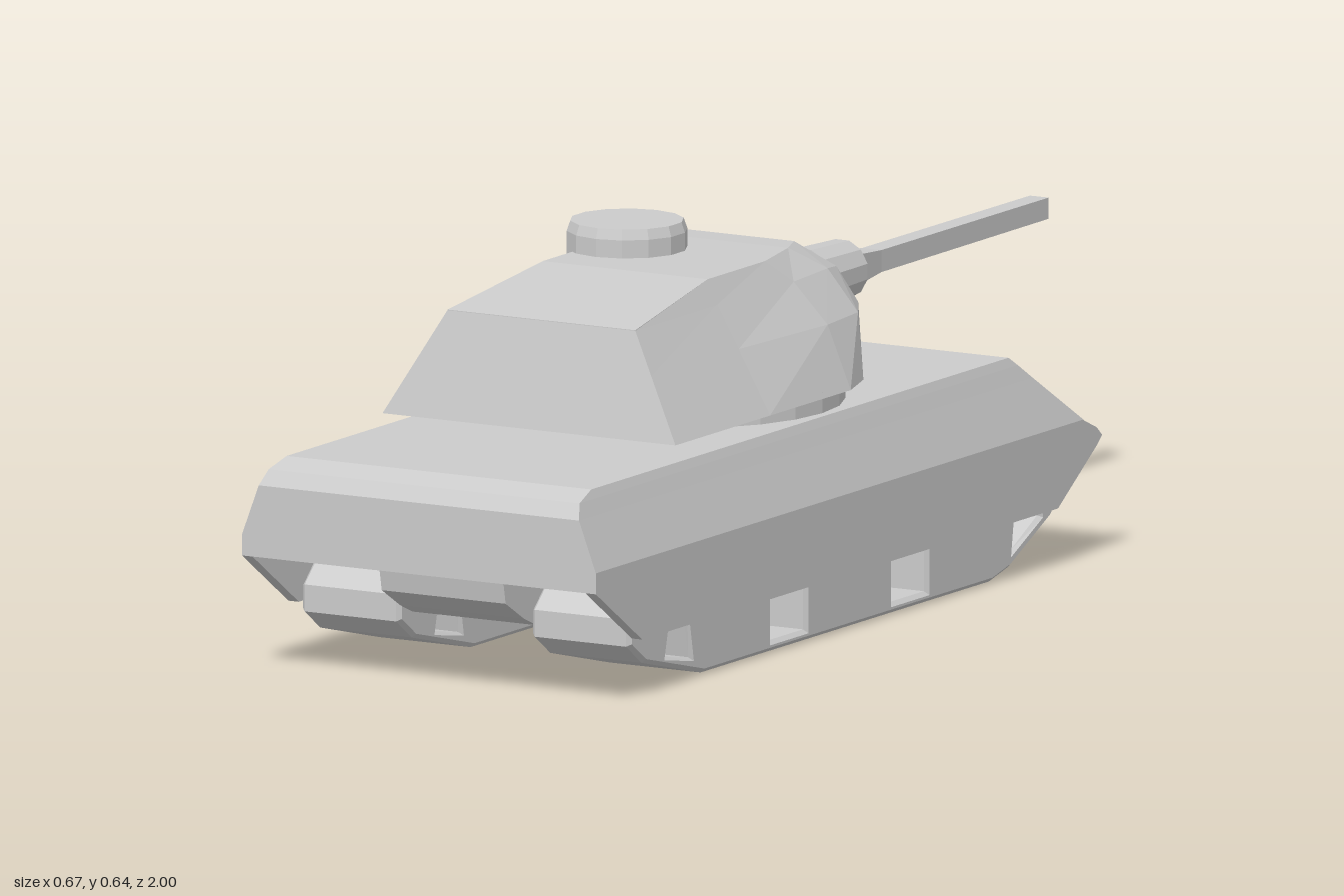
import * as THREE from 'three';

const material = new THREE.MeshStandardMaterial({ color: 0xcccccc, flatShading: true });

function add(parent, name, geometry) {
  const mesh = new THREE.Mesh(geometry, material);
  mesh.name = name;
  parent.add(mesh);
  return mesh;
}

// Solid from stacked rings; each ring lists its +x half, rear to front, and is mirrored.
function loft(halfRings) {
  const pos = [];
  const quad = (a, b, c, d) => pos.push(...a, ...b, ...c, ...a, ...c, ...d);
  const mirror = ([x, y, z]) => [-x, y, z];
  const rings = halfRings.map((h) => [...h, ...h.map(mirror).reverse()]);
  for (let r = 0; r + 1 < rings.length; r++) {
    const lo = rings[r], hi = rings[r + 1], n = lo.length;
    for (let i = 0; i < n; i++) {
      const j = (i + 1) % n;
      quad(lo[i], lo[j], hi[j], hi[i]);
    }
  }
  // Caps run straight across from side to side
  const bottom = halfRings[0], top = halfRings[halfRings.length - 1];
  for (let i = 0; i + 1 < top.length; i++) {
    quad(top[i], top[i + 1], mirror(top[i + 1]), mirror(top[i]));
    quad(bottom[i + 1], bottom[i], mirror(bottom[i]), mirror(bottom[i + 1]));
  }
  const g = new THREE.BufferGeometry();
  g.setAttribute('position', new THREE.Float32BufferAttribute(pos, 3));
  g.computeVertexNormals();
  return g;
}

// Side profile of [z, y] points extruded between x0 and x1
function sidePlate(points, x0, x1, holes = [], bevel = 0) {
  const vec = (list) => list.map(([z, y]) => new THREE.Vector2(z, y));
  const shape = new THREE.Shape(vec(points));
  holes.forEach((h) => shape.holes.push(new THREE.Path(vec(h))));
  const g = new THREE.ExtrudeGeometry(shape, {
    depth: x1 - x0 - 2 * bevel, bevelEnabled: bevel > 0,
    bevelThickness: bevel, bevelSize: bevel, bevelOffset: -bevel, bevelSegments: 1,
  });
  return g.rotateY(-Math.PI / 2).translate(x1 - bevel, 0, 0);
}

// Lathe lying along -z from [radius, -z] points
function gunLathe(points, sides) {
  const profile = points.map(([r, d]) => new THREE.Vector2(r, d));
  return new THREE.LatheGeometry(profile, sides, Math.PI / sides).rotateX(-Math.PI / 2);
}

export function createModel() {
  const tank = new THREE.Group();
  tank.name = 'tank';

  // Upper hull: [y, half width, rear z, front z]
  const hullRings = [
    [0.2, 0.337, 1, -0.615], [0.235, 0.337, 1, -0.572], [0.32, 0.305, 1, -0.462],
    [0.345, 0.296, 0.983, -0.43], [0.36, 0.29, 0.935, -0.41],
  ];
  add(tank, 'upperHull', loft(hullRings.map(([y, x, rear, front]) => [[x, y, rear], [x, y, front]])));

  // Belly between the tracks
  add(tank, 'belly', sidePlate([
    [0.93, 0.2], [0.92, 0.15], [0.86, 0.115], [0.82, 0.098],
    [-0.46, 0.098], [-0.58, 0.2],
  ], -0.118, 0.118));

  // Skirts and tracks on both sides
  const skirt = [
    [1, 0.235], [1, 0.2], [0.85, 0.1], [-0.49, 0.1], [-0.615, 0.185], [-0.632, 0.2], [-0.615, 0.215], [-0.57, 0.235],
  ];
  const track = [
    [0.78, 0.195], [0.85, 0.13], [0.85, 0.085], [0.8, 0.05], [0.61, 0.003], [-0.32, 0.003],
    [-0.38, 0.017], [-0.51, 0.08], [-0.555, 0.13], [-0.49, 0.195],
  ];
  const gaps = [
    [[0.65, 0.035], [0.73, 0.05], [0.71, 0.13], [0.67, 0.13]],
    [[0.28, 0.021], [0.39, 0.021], [0.39, 0.15], [0.28, 0.15]],
    [[-0.11, 0.021], [0, 0.021], [0, 0.15], [-0.11, 0.15]],
    [[-0.385, 0.042], [-0.4, 0.13], [-0.47, 0.13], [-0.475, 0.088]],
  ];
  for (const [side, s] of [['left', 1], ['right', -1]]) {
    const span = (a, b) => (s > 0 ? [a, b] : [-b, -a]);
    add(tank, side + 'Skirt', sidePlate(skirt, ...span(0.317, 0.337)));
    add(tank, side + 'Track', sidePlate(track, ...span(0.125, 0.313), gaps, 0.007));
  }

  // Small peg on the front deck
  add(tank, 'deckPeg', new THREE.CylinderGeometry(0.009, 0.009, 0.014, 8)).position.set(-0.055, 0.365, -0.38);

  // Turret ring and turret shell
  const turret = new THREE.Group();
  turret.name = 'turret';
  tank.add(turret);
  add(turret, 'turretRing', new THREE.CylinderGeometry(0.275, 0.275, 0.05, 24)).position.set(0, 0.37, 0.165);
  add(turret, 'turretShell', loft([
    [[0.279, 0.385, 0.645], [0.279, 0.385, 0.34], [0.279, 0.385, 0.08], [0.25, 0.385, -0.01], [0.19, 0.385, -0.075], [0.09, 0.39, -0.09]],
    [[0.219, 0.49, 0.621], [0.219, 0.49, 0.34], [0.235, 0.49, 0.08], [0.222, 0.49, -0.04], [0.175, 0.49, -0.12], [0.1, 0.49, -0.155]],
    [[0.179, 0.56, 0.605], [0.178, 0.56, 0.34], [0.182, 0.56, 0.1], [0.17, 0.56, -0.03], [0.145, 0.55, -0.1], [0.1, 0.535, -0.143]],
    [[0.179, 0.561, 0.605], [0.157, 0.6, 0.335], [0.157, 0.6, 0.15], [0.13, 0.6, 0.03], [0.1, 0.597, -0.04], [0.07, 0.59, -0.065]],
  ]));

  // Commander's cupola, reaching down past the sloping turret side
  const cupola = [[0, 0.5], [0.085, 0.5], [0.1, 0.53], [0.1, 0.63], [0.094, 0.647], [0, 0.647]];
  add(turret, 'cupola', new THREE.LatheGeometry(cupola.map(([r, y]) => new THREE.Vector2(r, y)), 14))
    .position.set(-0.1, 0, 0.16);

  // Mantlet: flared cone with its flanks cut flat
  const mantlet = gunLathe([
    [0, 0.06], [0.092, 0.06], [0.092, 0.12], [0.067, 0.19], [0.055, 0.24], [0.05, 0.365], [0, 0.365],
  ], 12);
  const p = mantlet.attributes.position;
  for (let i = 0; i < p.count; i++) p.setX(i, THREE.MathUtils.clamp(p.getX(i), -0.058, 0.058));
  add(turret, 'mantlet', mantlet).position.y = 0.488;

  // Square gun barrel, thicker at its root
  add(turret, 'barrel', gunLathe([
    [0, 0.35], [0.039, 0.35], [0.026, 0.46], [0.025, 1], [0, 1],
  ], 4)).position.y = 0.487;

  return tank;
}
